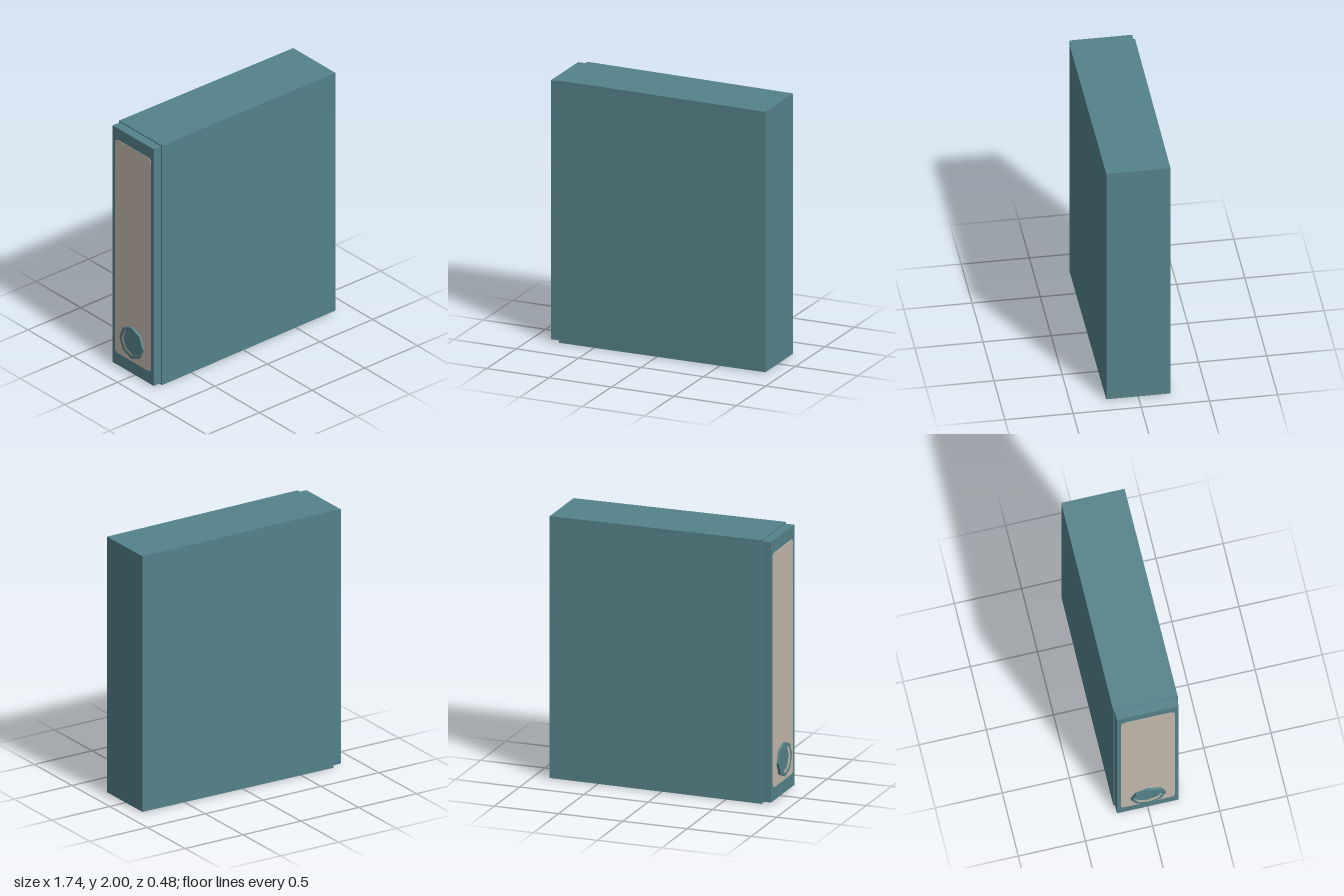
import * as THREE from 'three';

const SPINE_X = -0.85;

// Regular polygon outline with a corner pointing straight up
function polygon(Type, radius, sides) {
  const points = [];
  for (let i = 0; i < sides; i++) {
    const a = (i / sides) * Math.PI * 2;
    points.push(new THREE.Vector2(Math.sin(a) * radius, Math.cos(a) * radius));
  }
  return new Type(points);
}

function roundedRect(w, h, r) {
  const s = new THREE.Shape();
  const x = w / 2, y = h / 2;
  s.absarc(x - r, y - r, r, 0, Math.PI / 2);
  s.absarc(-x + r, y - r, r, Math.PI / 2, Math.PI);
  s.absarc(-x + r, -y + r, r, Math.PI, Math.PI * 1.5);
  s.absarc(x - r, -y + r, r, Math.PI * 1.5, Math.PI * 2);
  s.closePath();
  return s;
}

export function createModel() {
  const group = new THREE.Group();
  const teal = new THREE.MeshStandardMaterial({ color: 0x55828a });
  teal.name = 'teal board';
  const beige = new THREE.MeshStandardMaterial({ color: 0xc4baac });
  beige.name = 'beige paper';

  const add = (name, geometry, material, x, y) => {
    const mesh = new THREE.Mesh(geometry, material);
    mesh.name = name;
    mesh.position.set(x, y, 0);
    group.add(mesh);
    return mesh;
  };

  // Shape pushed out of the spine face, towards -x
  const addOnSpine = (name, shape, depth, material, y) => {
    const geometry = new THREE.ExtrudeGeometry(shape, { depth, bevelEnabled: false, curveSegments: 4 });
    geometry.rotateY(-Math.PI / 2);
    return add(name, geometry, material, SPINE_X, y);
  };

  // Main case, very slightly slimmer at the open end
  const body = new THREE.BoxGeometry(1.65, 2, 0.48);
  const p = body.attributes.position;
  for (let i = 0; i < p.count; i++) {
    if (p.getX(i) > 0) {
      p.setY(i, p.getY(i) * 0.993);
      p.setZ(i, p.getZ(i) * 0.982);
    }
  }
  body.computeVertexNormals();
  add('binderCase', body, teal, 0.045, 1);

  // Narrower spine strip
  add('spine', new THREE.BoxGeometry(0.08, 1.975, 0.46), teal, SPINE_X + 0.04, 1.0025);

  // Paper label
  addOnSpine('spineLabel', roundedRect(0.4, 1.78, 0.035), 0.003, beige, 1.005);

  // Finger hole: octagonal rim around a flat floor
  const rim = polygon(THREE.Shape, 0.13, 8);
  rim.holes.push(polygon(THREE.Path, 0.102, 8));
  addOnSpine('fingerHoleRim', rim, 0.022, teal, 0.28);
  addOnSpine('fingerHoleFloor', polygon(THREE.Shape, 0.104, 8), 0.006, teal, 0.28);

  return group;
}
